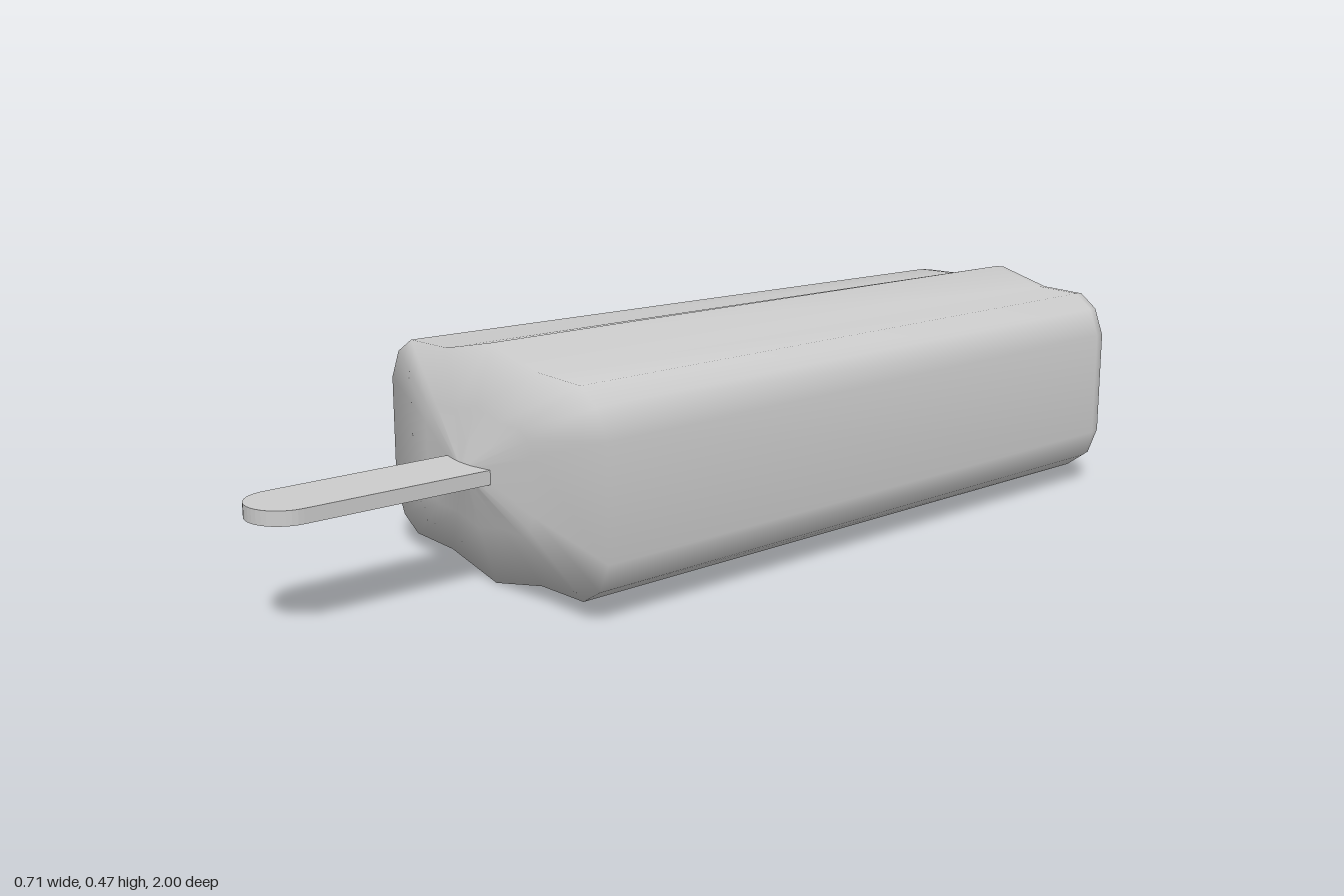
import * as THREE from 'three';

const CY = 0.235; // height of the centre line

// One quarter of the cross-section at the wide front end, from the side to the top ridge
const QUARTER = [[0.353, 0.112], [0.326, 0.17], [0.277, 0.2], [0.15, 0.203], [0, 0.235]];

// Mirror the quarter into a closed counterclockwise loop
function crossSection() {
  const half = [...QUARTER, ...QUARTER.slice(0, -1).reverse().map(([x, y]) => [-x, y])];
  const bottom = half.map(([x, y]) => [-x, -y]);
  return [...half, ...bottom];
}

// Skin scaled copies of the cross-section, front to back, closed by a centre point at each end
function loft(section, rings, zFront, zBack) {
  const n = section.length, pos = [], idx = [];
  for (const [z, sx, sy] of rings)
    for (const [x, y] of section) pos.push(x * sx, CY + y * sy, z);
  const front = rings.length * n, back = front + 1, last = (rings.length - 1) * n;
  pos.push(0, CY, zFront, 0, CY, zBack);
  for (let j = 0; j < n; j++) {
    const k = (j + 1) % n;
    for (let r = 0; r < rings.length - 1; r++) {
      const a = r * n + j, b = r * n + k;
      idx.push(a, a + n, b, b, a + n, b + n);
    }
    idx.push(front, j, k, back, last + k, last + j);
  }
  const geo = new THREE.BufferGeometry();
  geo.setAttribute('position', new THREE.Float32BufferAttribute(pos, 3));
  geo.setIndex(idx);
  geo.computeVertexNormals();
  return geo;
}

export function createModel() {
  const group = new THREE.Group();
  const material = new THREE.MeshStandardMaterial({ color: 0xcccccc });

  // Tapered ice body: shallow pointed front, softly rounded back (z, x scale, y scale)
  const body = new THREE.Mesh(loft(crossSection(), [
    [0.555, 0.08, 0.08],
    [0.525, 0.5, 0.5],
    [0.49, 1, 1],
    [-0.95, 0.85, 1],
    [-0.975, 0.835, 0.985],
    [-0.988, 0.79, 0.95],
    [-0.995, 0.66, 0.8],
  ], 0.56, -1), material);
  body.name = 'iceBody';
  group.add(body);

  // Flat stick with a rounded tip
  const w = 0.072;
  const outline = new THREE.Shape();
  outline.moveTo(-w, 0.45);
  outline.lineTo(w, 0.45);
  outline.lineTo(w, 0.93);
  outline.absellipse(0, 0.93, w, 0.07, 0, Math.PI, false);
  outline.closePath();
  const stickGeo = new THREE.ExtrudeGeometry(outline, { depth: 0.028, bevelEnabled: false, curveSegments: 10 });
  stickGeo.rotateX(Math.PI / 2);
  stickGeo.translate(0, 0.249, 0);
  const stick = new THREE.Mesh(stickGeo, material);
  stick.name = 'stick';
  group.add(stick);

  return group;
}
